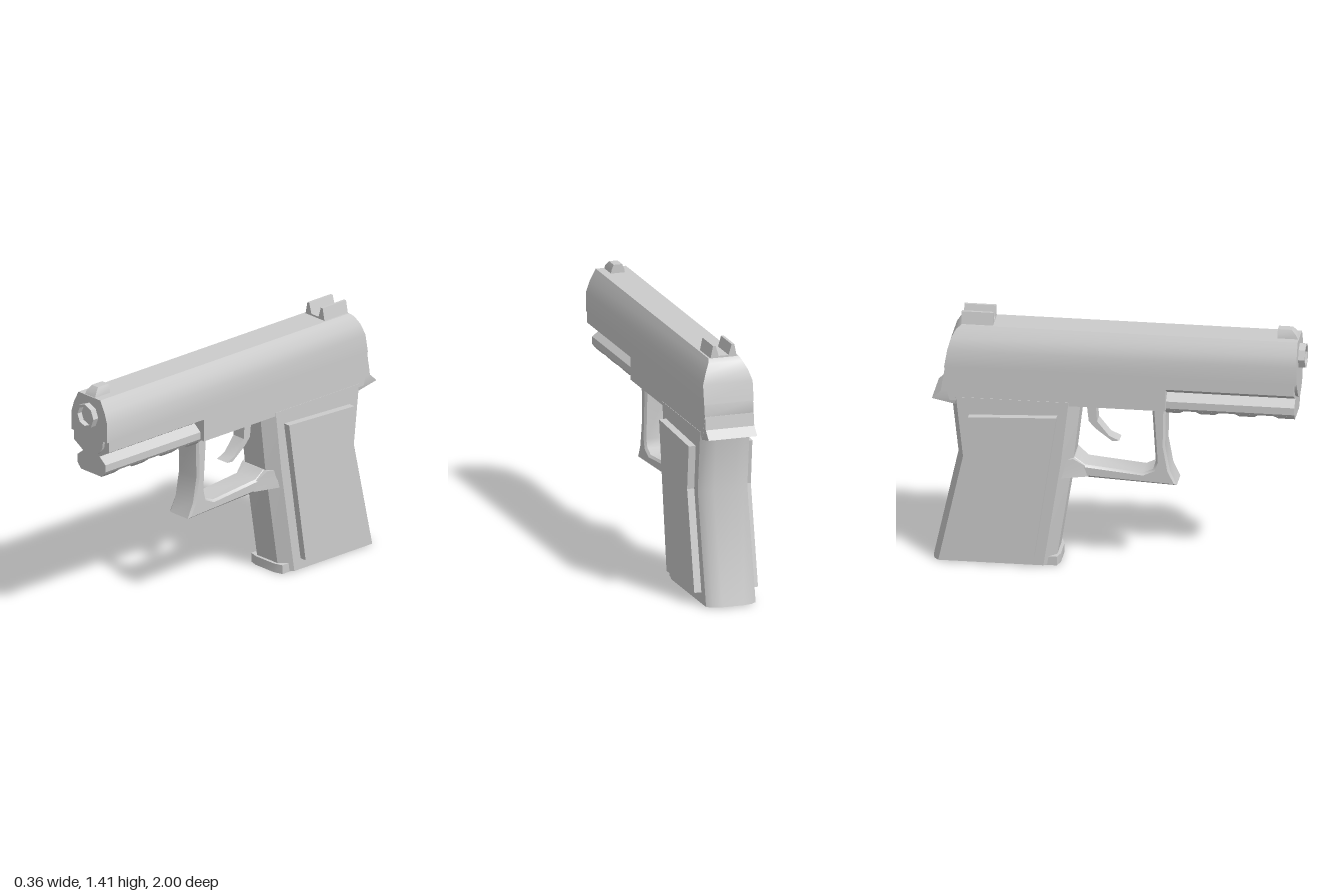
import * as THREE from 'three';
import { toCreasedNormals } from 'three/addons/utils/BufferGeometryUtils.js';

const material = new THREE.MeshStandardMaterial({ color: 0xcccccc });

// Skin stacked rings of [x, y, z]; rings rise in y and run counterclockwise from above.
function loft(rings) {
  const n = rings[0].length, index = [];
  rings.slice(1).forEach((_, r) => {
    for (let i = 0; i < n; i++) {
      const a = r * n + i, b = r * n + (i + 1) % n;
      index.push(a, b, b + n, a, b + n, a + n);
    }
  });
  const top = (rings.length - 1) * n;
  for (let i = 1; i < n - 1; i++) {
    index.push(0, i + 1, i, top, top + i, top + i + 1);
  }
  const g = new THREE.BufferGeometry();
  g.setAttribute('position', new THREE.Float32BufferAttribute(rings.flat(2), 3));
  g.setIndex(index);
  return g;
}

// Symmetric solid from rows of [y, halfWidth, zFront, zRear, rearHalfWidth].
const stack = rows => loft(rows.map(([y, w, f, r, v = w]) =>
  [[w, y, f], [v, y, r], [-v, y, r], [-w, y, f]]));

const shapeOf = pts => new THREE.Shape(pts.map(p => new THREE.Vector2(...p)));

// Side profile of [z, y] points, given thickness across x.
function sideProfile(pts, width, bevel = 0) {
  const g = new THREE.ExtrudeGeometry(shapeOf(pts), {
    depth: width - 2 * bevel, bevelEnabled: bevel > 0, bevelThickness: bevel,
    bevelSize: bevel, bevelOffset: -bevel, bevelSegments: 1,
  });
  return g.translate(0, 0, bevel - width / 2).rotateY(-Math.PI / 2);
}

export function createModel() {
  const model = new THREE.Group();
  const add = (name, geometry, crease = 0.6) => {
    const mesh = new THREE.Mesh(toCreasedNormals(geometry, crease), material);
    mesh.name = name;
    model.add(mesh);
    return mesh;
  };

  // Slide with rounded shoulders and a curved rear
  add('slide', stack([
    [1.115, 0.14, 0.965, -0.93], [1.22, 0.14, 0.965, -0.912], [1.28, 0.12, 0.965, -0.895],
    [1.325, 0.096, 0.965, -0.87], [1.345, 0.085, 0.965, -0.845],
  ]));
  add('slideNose', stack([
    [1.0, 0.004, 0.965, 0.9], [1.03, 0.065, 0.965, 0.9], [1.07, 0.1, 0.965, 0.9],
    [1.117, 0.108, 0.965, 0.9],
  ]));

  // Barrel muzzle
  const muzzle = [[0.07, 0.95], [0.07, 1], [0.055, 1], [0.055, 0.97], [0, 0.97]];
  add('muzzle', new THREE.LatheGeometry(muzzle.map(p => new THREE.Vector2(...p)), 8)
    .rotateX(Math.PI / 2).translate(0, 1.238, 0), 0.3);

  // Sights
  add('frontSight', loft([[1.34, 0.04, 0.962, 0.85], [1.365, 0.036, 0.95, 0.85], [1.392, 0.024, 0.925, 0.85]]
    .map(([y, w, f, r]) => [[w, y, f], [w, y, r], [-w, y, r], [-w, y, f]])), 0.3);
  const half = [[0.028, 1.355], [0.045, 1.413], [0.06, 1.413], [0.075, 1.34]];
  const notch = [...half.map(([x, y]) => [-x, y]).reverse(), ...half];
  add('rearSight', new THREE.ExtrudeGeometry(shapeOf(notch), { depth: 0.17, bevelEnabled: false })
    .translate(0, 0, -0.845), 0.3);

  // Frame: dust cover, main body and rear tang
  add('dustCover', stack([
    [1.01, 0.06, 0.95, 0.2], [1.055, 0.138, 0.95, 0.2], [1.115, 0.138, 0.95, 0.2],
  ]), 0.3);
  add('frame', stack([
    [0.93, 0.138, 0.26, -0.9], [1.05, 0.138, 0.26, -0.935], [1.115, 0.138, 0.26, -0.926],
  ]));
  add('tang', stack([
    [0.905, 0.13, -0.7, -0.865], [0.935, 0.137, -0.7, -0.995],
    [0.98, 0.137, -0.7, -0.947], [1.05, 0.137, -0.7, -0.937],
  ]), 0.3);

  // Accessory rail with teeth underneath
  add('rail', stack([
    [0.92, 0.1, 0.95, 0.25], [0.935, 0.11, 0.95, 0.25],
    [0.975, 0.11, 0.95, 0.25], [1.015, 0.06, 0.95, 0.25],
  ]), 0.3);
  for (const [front, rear] of [[0.95, 0.86], [0.73, 0.65], [0.52, 0.44], [0.33, 0.26]]) {
    const f = Math.min(front + 0.025, 0.95), r = Math.max(rear - 0.025, 0.25);
    add('railTooth', stack([[0.9, 0.08, front, rear], [0.921, 0.101, f, r]]), 0.3);
  }

  // Trigger guard, flaring into the grip
  add('triggerGuard', sideProfile([
    [0.255, 0.98], [0.25, 0.7], [0.275, 0.56], [0.313, 0.478], [-0.18, 0.5], [-0.3, 0.53],
    [-0.3, 0.61], [-0.235, 0.61], [-0.18, 0.57], [0.13, 0.54], [0.185, 0.565],
    [0.2, 0.61], [0.18, 0.93], [0.18, 0.98],
  ], 0.16, 0.012));
  add('guardFlare', stack([
    [0.505, 0.078, -0.16, -0.34, 0.138], [0.565, 0.078, -0.18, -0.34, 0.138],
    [0.61, 0.1, -0.24, -0.34, 0.138],
  ]), 0.3);
  add('trigger', sideProfile([
    [-0.13, 0.95], [-0.12, 0.81], [-0.055, 0.73], [0, 0.705], [-0.04, 0.702],
    [-0.13, 0.77], [-0.165, 0.81], [-0.18, 0.95],
  ], 0.08));

  // Grip with rounded front and back straps
  const gripRing = ([y, f, r]) => {
    const side = [[0.08, f], [0.14, f - 0.06], [0.14, r + 0.035], [0.11, r + 0.01], [0.06, r]];
    return [...side.map(([x, z]) => [x, y, z]),
      ...side.reverse().map(([x, z]) => [-x, y, z])];
  };
  add('grip', loft([
    [0.004, -0.335, -0.995], [0.61, -0.24, -0.862], [0.95, -0.2, -0.9],
  ].map(gripRing)), 0.75);

  // Magazine base lip
  add('magazineLip', loft([0, 0.05].map(y => [
    [0.07, y, -0.31], [0.122, y, -0.325], [0.122, y, -0.4],
    [-0.122, y, -0.4], [-0.122, y, -0.325], [-0.07, y, -0.31],
  ])));

  // Raised side panels
  for (const [name, s] of [['leftGripPanel', 1], ['rightGripPanel', -1]]) {
    add(name, sideProfile([
      [-0.32, 0.873], [-0.795, 0.853], [-0.77, 0.61], [-0.885, 0.065], [-0.44, 0.065],
    ], 0.06), 0.3).position.x = s * 0.15;
  }
  return model;
}
